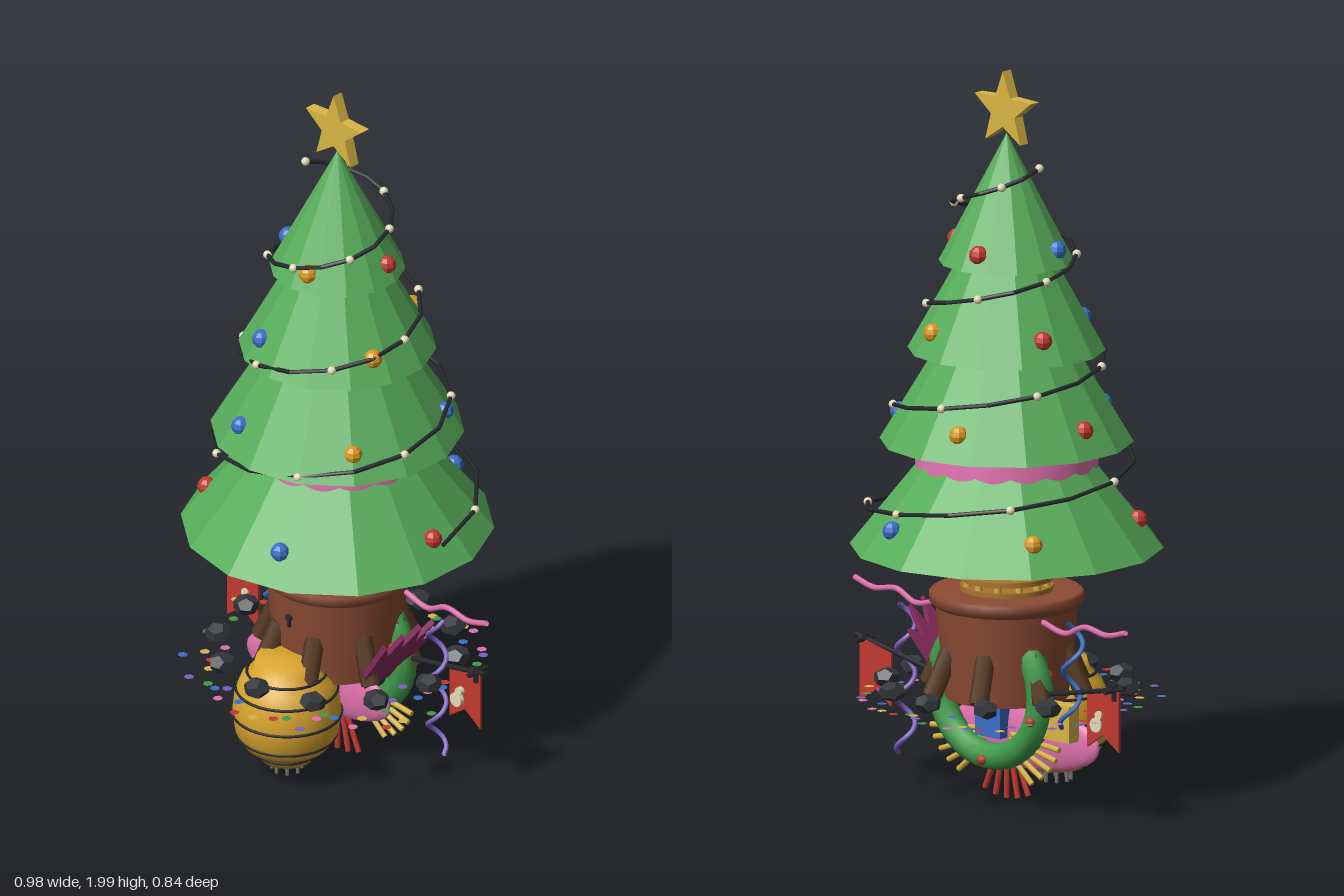
import * as THREE from 'three';

const C = {
  green: 0x58ad5b, gold: 0xd9b545, amber: 0xd9981e, red: 0xc23a30, blue: 0x3a6fc9, pink: 0xe071ae, plum: 0x8d3f72,
  magenta: 0x8a2c60, brown: 0x8c4b35, log: 0x593c25, bronze: 0xa8742f, dark: 0x26282c, cream: 0xe4dcb8,
  coal: 0x33363b, purple: 0x7d5fbf, hive: 0xd9a52e, wreath: 0x3f9a4a,
};

export function createModel() {
  const root = new THREE.Group();

  function add(name, geo, color, x = 0, y = 0, z = 0, flat = false, parent = root) {
    const mat = new THREE.MeshStandardMaterial({ color, flatShading: flat, side: THREE.DoubleSide });
    const m = new THREE.Mesh(geo, mat);
    m.name = name;
    m.position.set(x, y, z);
    parent.add(m);
    return m;
  }
  const cyl = (rt, rb, h, n = 24) => new THREE.CylinderGeometry(rt, rb, h, n);
  const lathe = (pts, n = 28) => new THREE.LatheGeometry(pts.map(p => new THREE.Vector2(...p)), n);
  const tube = (pts, r, n = 40) => new THREE.TubeGeometry(
    new THREE.CatmullRomCurve3(pts.map(p => new THREE.Vector3(...p))), n, r, 6);
  // rod running between two points
  function rod(name, a, b, r, color) {
    const p = new THREE.Vector3(...a), q = new THREE.Vector3(...b), d = q.clone().sub(p);
    const m = add(name, cyl(r, r, d.length(), 6), color);
    m.position.copy(p).add(q).multiplyScalar(0.5);
    m.quaternion.setFromUnitVectors(new THREE.Vector3(0, 1, 0), d.normalize());
    return m;
  }
  let seed = 7;
  const rnd = () => (seed = (seed * 16807) % 2147483647) / 2147483647;

  // tree tiers: bottom radius, bottom y, top radius, top y
  [[0.42, 0.70, 0.18, 1.0], [0.34, 0.99, 0.165, 1.28], [0.265, 1.24, 0.11, 1.52], [0.182, 1.48, 0, 1.83]]
    .forEach(([rb, y0, rt, y1], i) =>
      add('treeTier' + (i + 1), cyl(rt, rb, y1 - y0, 14), C.green, 0, (y0 + y1) / 2, 0, true));

  // star on top
  const star = new THREE.Shape();
  for (let i = 0; i < 10; i++) {
    const a = Math.PI / 2 + i * Math.PI / 5, r = i % 2 ? 0.045 : 0.107;
    star[i ? 'lineTo' : 'moveTo'](r * Math.cos(a), r * Math.sin(a));
  }
  add('star', new THREE.ExtrudeGeometry(star, { depth: 0.032, bevelEnabled: false }), C.gold, 0, 1.893, -0.016, true);

  // light string: a straight-sided spiral with a bulb at every other corner
  const spiral = i => {
    const t = i / 47, a = t * Math.PI * 7, r = 0.39 - 0.272 * t;
    return [r * Math.cos(a), 0.775 + 0.975 * t, -r * Math.sin(a)];
  };
  for (let i = 0; i < 47; i++) {
    rod('lightWire', spiral(i), spiral(i + 1), 0.006, C.dark);
    add('lightBulb', new THREE.IcosahedronGeometry(0.012, 1), C.cream, ...spiral(i % 2 ? i : i + 1));
  }

  // baubles: radius, y, then angle and colour
  [[0.352, 0.78, [[0, 'red'], [72, 'blue'], [144, 'amber'], [216, 'red'], [288, 'blue']]],
    [0.288, 1.06, [[35, 'blue'], [106, 'amber'], [178, 'red'], [250, 'blue'], [322, 'amber']]],
    [0.222, 1.305, [[339, 'amber'], [70, 'amber'], [158, 'red'], [248, 'blue']]],
    [0.153, 1.525, [[13, 'red'], [103, 'red'], [193, 'blue'], [283, 'amber']]]]
    .forEach(([r, y, list]) => list.forEach(([deg, c]) => {
      const a = deg * Math.PI / 180;
      add('bauble', new THREE.SphereGeometry(0.026, 8, 6), C[c], r * Math.cos(a), y, -r * Math.sin(a), true);
    }));

  // pink band with a scalloped lower edge
  const band = new THREE.CylinderGeometry(0.24, 0.245, 0.05, 96, 1, true);
  const bp = band.attributes.position;
  for (let i = 0; i < bp.count; i++) {
    if (bp.getY(i) < 0) bp.setY(i, -0.02 - 0.012 * Math.abs(Math.sin(8 * Math.atan2(bp.getX(i), bp.getZ(i)))));
  }
  band.computeVertexNormals();
  add('scallopedBand', band, C.pink, 0, 0.955);
  add('bandTop', new THREE.CircleGeometry(0.24, 48), C.pink, 0, 0.98).rotation.x = -Math.PI / 2;

  // neck between the tree and the pot
  add('neckCup', cyl(0.155, 0.1, 0.04, 28), C.plum, 0, 0.682);
  add('neckRing', cyl(0.105, 0.105, 0.035), C.amber, 0, 0.645);
  add('neckPlateTop', cyl(0.125, 0.125, 0.014), C.bronze, 0, 0.617);
  add('neckPlateBottom', cyl(0.125, 0.125, 0.014), C.bronze, 0, 0.588);
  for (let i = 0; i < 12; i++) {
    const a = i * Math.PI / 6;
    add('neckPost', cyl(0.01, 0.01, 0.03, 8), C.gold, 0.11 * Math.cos(a), 0.603, 0.11 * Math.sin(a));
  }

  // pot with rim and keyhole
  add('pot', cyl(0.192, 0.165, 0.26, 28), C.brown, 0, 0.42);
  add('potRim', lathe([[0, 0.54], [0.193, 0.54], [0.208, 0.555], [0.208, 0.575], [0.2, 0.582], [0, 0.582]]), C.brown);
  const hole = add('keyhole', cyl(0.01, 0.01, 0.02, 12), C.dark, 0, 0.48, 0.182);
  hole.rotation.x = Math.PI / 2;
  add('keySlot', new THREE.BoxGeometry(0.007, 0.028, 0.02), C.dark, 0, 0.465, 0.18);

  // logs leaning on the pot, and the ring of coals around it
  for (let i = 0; i < 8; i++) {
    const a = (i + 0.5) * Math.PI / 4, s = Math.sin(a), c = Math.cos(a);
    rod('log', [0.22 * s, 0.31, 0.22 * c], [0.165 * s, 0.43, 0.165 * c], 0.027, C.log);
  }
  for (let i = 0; i < 12; i++) {
    const a = i * Math.PI / 6 + 0.04;
    const coal = add('coal', new THREE.DodecahedronGeometry(0.037), C.coal,
      0.325 * Math.sin(a), 0.325, 0.325 * Math.cos(a), true);
    coal.scale.y = 0.75;
    coal.rotation.y = i * 1.3;
  }

  // flat confetti scattered in one plane
  const confetti = new THREE.CircleGeometry(0.014, 6).rotateX(-Math.PI / 2);
  const tints = [C.purple, C.blue, C.gold, C.wreath, C.pink, C.red];
  for (let i = 0; i < 64; i++) {
    const a = i * 2.39996, r = 0.24 + 0.18 * Math.sqrt(rnd());
    add('confetti', confetti, tints[i % 6], r * Math.cos(a), 0.287, r * Math.sin(a));
  }

  // round lantern in front, with dark hoops and prongs below
  const lantern = new THREE.Group();
  lantern.name = 'lantern';
  lantern.position.z = 0.195;
  root.add(lantern);
  add('lanternBody', lathe([[0, 0.06], [0.07, 0.06], [0.08, 0.085], [0.115, 0.105], [0.138, 0.145], [0.146, 0.2],
    [0.14, 0.26], [0.122, 0.305], [0.09, 0.335], [0.082, 0.365], [0, 0.37]]), C.hive, 0, 0, 0, false, lantern);
  [[0.085, 0.083], [0.132, 0.133], [0.147, 0.2], [0.137, 0.272], [0.107, 0.322]].forEach(([r, y]) =>
    add('lanternHoop', new THREE.TorusGeometry(r, 0.004, 6, 32).rotateX(Math.PI / 2), C.dark, 0, y, 0, false, lantern));
  for (let i = 0; i < 8; i++) {
    const a = i * Math.PI / 4;
    add('prong', cyl(0.006, 0.005, 0.04, 6), 0x777777, 0.04 * Math.cos(a), 0.045, 0.04 * Math.sin(a), false, lantern);
  }

  // wreath behind, with berries
  add('wreath', new THREE.TorusGeometry(0.18, 0.037, 10, 36), C.wreath, 0, 0.315, -0.065);
  for (let i = 0; i < 10; i++) {
    const a = i * Math.PI / 5 + 0.3, z = i % 2 ? -0.1 : -0.028;
    add('berry', new THREE.SphereGeometry(0.014, 8, 6), C.red, 0.185 * Math.cos(a), 0.315 + 0.185 * Math.sin(a), z);
  }

  // flat pink body with a round window
  add('pinkBody', new THREE.SphereGeometry(1, 28, 16), C.pink, -0.075, 0.195, -0.005).scale.set(0.265, 0.093, 0.03);
  add('windowRing', new THREE.TorusGeometry(0.06, 0.011, 8, 28), C.cream, -0.185, 0.19, 0.03);
  add('windowPane', cyl(0.055, 0.055, 0.02), C.coal, -0.185, 0.19, 0.025).rotation.x = Math.PI / 2;

  // burst of red and yellow slips under the pot
  for (let i = 0; i < 15; i++) {
    const a = (i - 7) * 0.2, isRed = Math.abs(i - 7) < 3, r = isRed ? 0.2 : 0.235;
    const z = isRed ? 0 : -0.045;
    rod('burstSlip', [0.06 * Math.sin(a), 0.21 - 0.06 * Math.cos(a), z],
      [r * Math.sin(a), 0.21 - r * Math.cos(a) * (isRed ? 1 : 0.7), z], 0.008, isRed ? C.red : C.gold);
  }
  add('blueParcel', new THREE.BoxGeometry(0.09, 0.1, 0.05), C.blue, 0.01, 0.235, -0.04);
  add('yellowParcel', new THREE.BoxGeometry(0.1, 0.1, 0.04), C.gold, -0.23, 0.26, -0.04);

  // jagged fan leaning out on the left
  const fan = new THREE.Shape();
  [[-0.04, -0.03], [0.05, -0.03], [0.1, 0.06], [0.115, 0.22], [0.07, 0.15], [0.055, 0.235], [0.025, 0.165], [0, 0.25],
    [-0.03, 0.165], [-0.06, 0.235], [-0.07, 0.14], [-0.105, 0.17], [-0.085, 0.05]]
    .forEach(([x, y], i) => fan[i ? 'lineTo' : 'moveTo'](x, y));
  const fanGeo = new THREE.ExtrudeGeometry(fan, { depth: 0.015, bevelEnabled: false })
    .rotateY(-Math.PI / 2).rotateZ(-0.62);
  add('jaggedFan', fanGeo, C.magenta, 0.18, 0.3, 0.015, true);

  // banners and wavy ribbons on both sides
  const flag = new THREE.Shape();
  [[-0.057, 0.09], [0.057, 0.06], [0.057, -0.085], [0, -0.045], [-0.057, -0.085]]
    .forEach(([x, y], i) => flag[i ? 'lineTo' : 'moveTo'](x, y));
  const flagGeo = new THREE.ExtrudeGeometry(flag, { depth: 0.008, bevelEnabled: false });
  for (const s of [-1, 1]) {
    const banner = add('banner', flagGeo, C.red, s * 0.407, 0.3, -0.066);
    banner.rotation.y = s > 0 ? Math.PI : 0;
    rod('bannerPole', [s * 0.485, 0.393, -0.065], [s * 0.18, 0.33, -0.065], 0.007, C.dark);
    rod('poleCross', [s * 0.45, 0.385, -0.105], [s * 0.45, 0.385, -0.035], 0.007, C.dark);
    rod('poleCross', [s * 0.45, 0.355, -0.065], [s * 0.45, 0.4, -0.065], 0.009, C.dark);
    add('bannerDot', cyl(0.02, 0.02, 0.02, 16), C.cream, s * 0.385, 0.28, -0.062).rotation.x = Math.PI / 2;
    add('bannerPip', cyl(0.012, 0.012, 0.02, 12), C.cream, s * 0.395, 0.308, -0.062).rotation.x = Math.PI / 2;
    add('ribbon', tube([[s * 0.19, 0.53, -0.065], [s * 0.27, 0.512, -0.065], [s * 0.34, 0.54, -0.065],
      [s * 0.42, 0.53, -0.065], [s * 0.49, 0.548, -0.065]], 0.008), C.pink);
  }

  // curled streamers
  const streamer = (x0, x1, y0, y1, turns) => Array.from({ length: turns * 8 + 1 }, (_, i) => {
    const t = i / (turns * 8), a = i * Math.PI / 4;
    return [x0 + (x1 - x0) * t + 0.025 * Math.cos(a), y0 + (y1 - y0) * t, -0.06 + 0.025 * Math.sin(a)];
  });
  add('blueStreamer', tube(streamer(-0.3, -0.28, 0.54, 0.25, 2), 0.007, 70), C.blue);
  add('purpleStreamer', tube(streamer(0.31, 0.31, 0.5, 0.09, 3), 0.007, 90), C.purple);

  return root;
}
